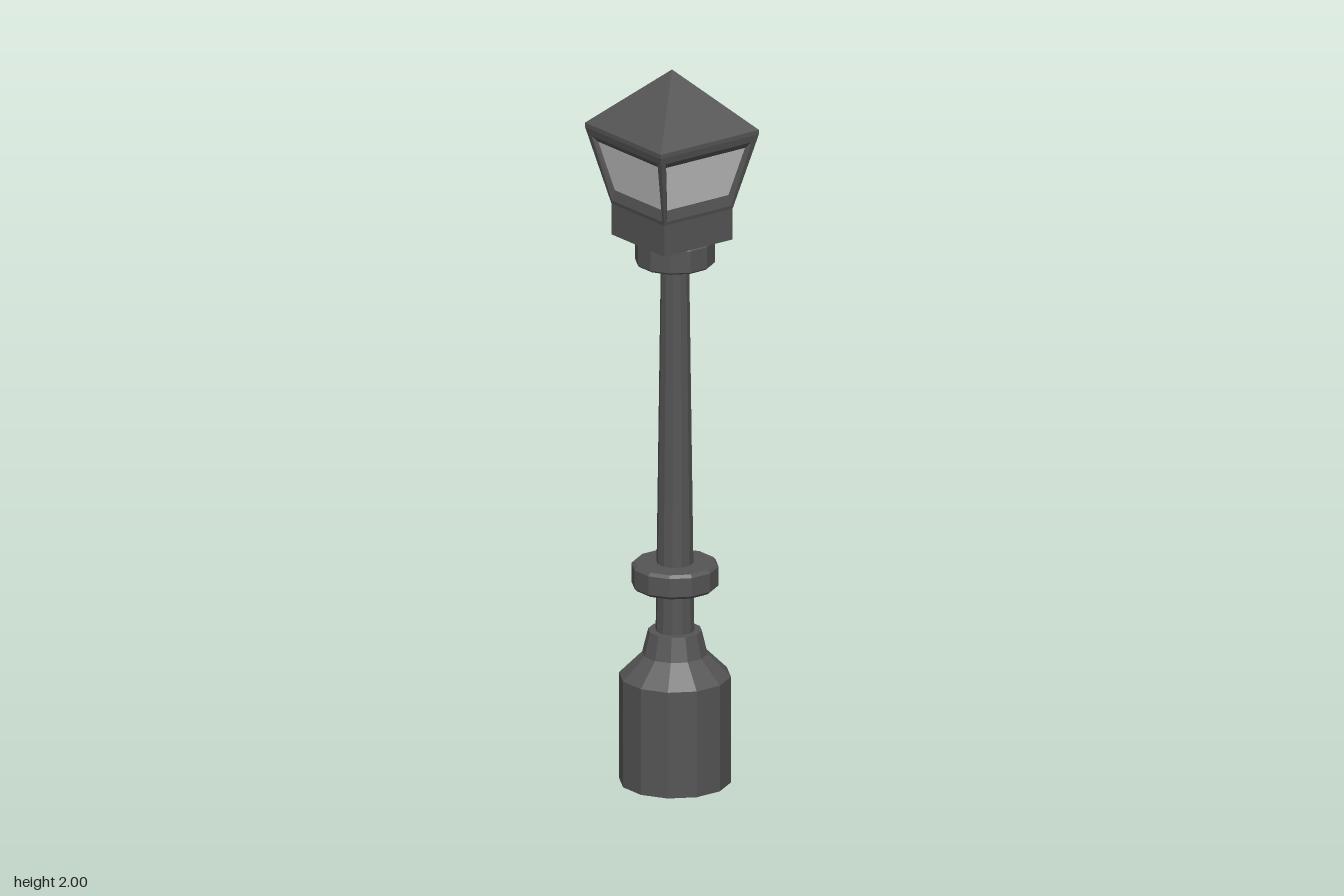
import * as THREE from 'three';

const metal = new THREE.MeshStandardMaterial({ color: 0x555555, flatShading: true });
const glass = new THREE.MeshStandardMaterial({ color: 0xcccccc, flatShading: true });

function part(parent, name, geometry, material = metal) {
  const mesh = new THREE.Mesh(geometry, material);
  mesh.name = name;
  parent.add(mesh);
  return mesh;
}

// twelve-sided turned part, from [radius, height] pairs, flat faces toward the axes
function turned(points) {
  const profile = points.map(([r, y]) => new THREE.Vector2(r, y));
  return new THREE.LatheGeometry(profile, 12, Math.PI / 12);
}

// bevelled disc
function disc(r, y0, y1, b = 0.008) {
  return turned([[0, y0], [r - b, y0], [r, y0 + b], [r, y1 - b], [r - b, y1], [0, y1]]);
}

// four corners of a symmetric trapezoid, counter-clockwise from the front
function trapezoid(w0, y0, z0, w1, y1, z1) {
  return [[-w0, y0, z0], [w0, y0, z0], [w1, y1, z1], [-w1, y1, z1]];
}

function quads(list) {
  const positions = [];
  for (const [a, b, c, d] of list) positions.push(...a, ...b, ...c, ...a, ...c, ...d);
  const geometry = new THREE.BufferGeometry();
  geometry.setAttribute('position', new THREE.Float32BufferAttribute(positions, 3));
  geometry.computeVertexNormals();
  return geometry;
}

// band of quads between two nested trapezoids
function band(outer, inner) {
  return outer.map((p, i) => {
    const j = (i + 1) % 4;
    return [p, outer[j], inner[j], inner[i]];
  });
}

export function createModel() {
  const lamp = new THREE.Group();
  lamp.name = 'streetLamp';

  // post, standing slightly forward of the lantern's centre
  const post = new THREE.Group();
  post.name = 'post';
  post.position.z = 0.013;
  lamp.add(post);
  part(post, 'base', turned([[0, 0], [0.15, 0], [0.15, 0.298], [0.088, 0.36], [0.072, 0.425], [0, 0.425]]));
  part(post, 'pole', turned([[0.052, 0.42], [0.038, 1.47]]));
  part(post, 'ring', disc(0.117, 0.547, 0.615));
  part(post, 'collar', disc(0.107, 1.46, 1.53, 0.005));

  // lantern
  const lantern = new THREE.Group();
  lantern.name = 'lantern';
  lamp.add(lantern);
  const W0 = 0.115, Y0 = 1.615, W1 = 0.165, Y1 = 1.828;
  const faceZ = (y) => W0 + (W1 - W0) * (y - Y0) / (Y1 - Y0);

  part(lantern, 'lanternBase', new THREE.BoxGeometry(2 * W0, Y0 - 1.528, 2 * W0))
    .position.y = (Y0 + 1.528) / 2;

  // four flared sides with sunken panes
  const outer = trapezoid(W0, Y0, W0, W1, Y1, W1);
  const opening = trapezoid(0.109, 1.625, faceZ(1.625), 0.144, 1.808, faceZ(1.808));
  const pane = trapezoid(0.103, 1.655, faceZ(1.655) - 0.012, 0.134, 1.79, faceZ(1.79) - 0.012);
  for (let i = 0; i < 4; i++) {
    const side = new THREE.Group();
    side.name = 'lanternSide';
    side.rotation.y = i * Math.PI / 2;
    lantern.add(side);
    part(side, 'windowFrame', quads([...band(outer, opening), ...band(opening, pane)]));
    part(side, 'windowPane', quads([pane]), glass);
  }

  // roof with a thin eave
  part(lantern, 'eave', new THREE.BoxGeometry(2 * W1, 0.012, 2 * W1)).position.y = Y1 + 0.006;
  const roof = part(lantern, 'roof', new THREE.ConeGeometry(W1 * Math.SQRT2, 0.16, 4));
  roof.position.y = 1.92;
  roof.rotation.y = Math.PI / 4;

  return lamp;
}
